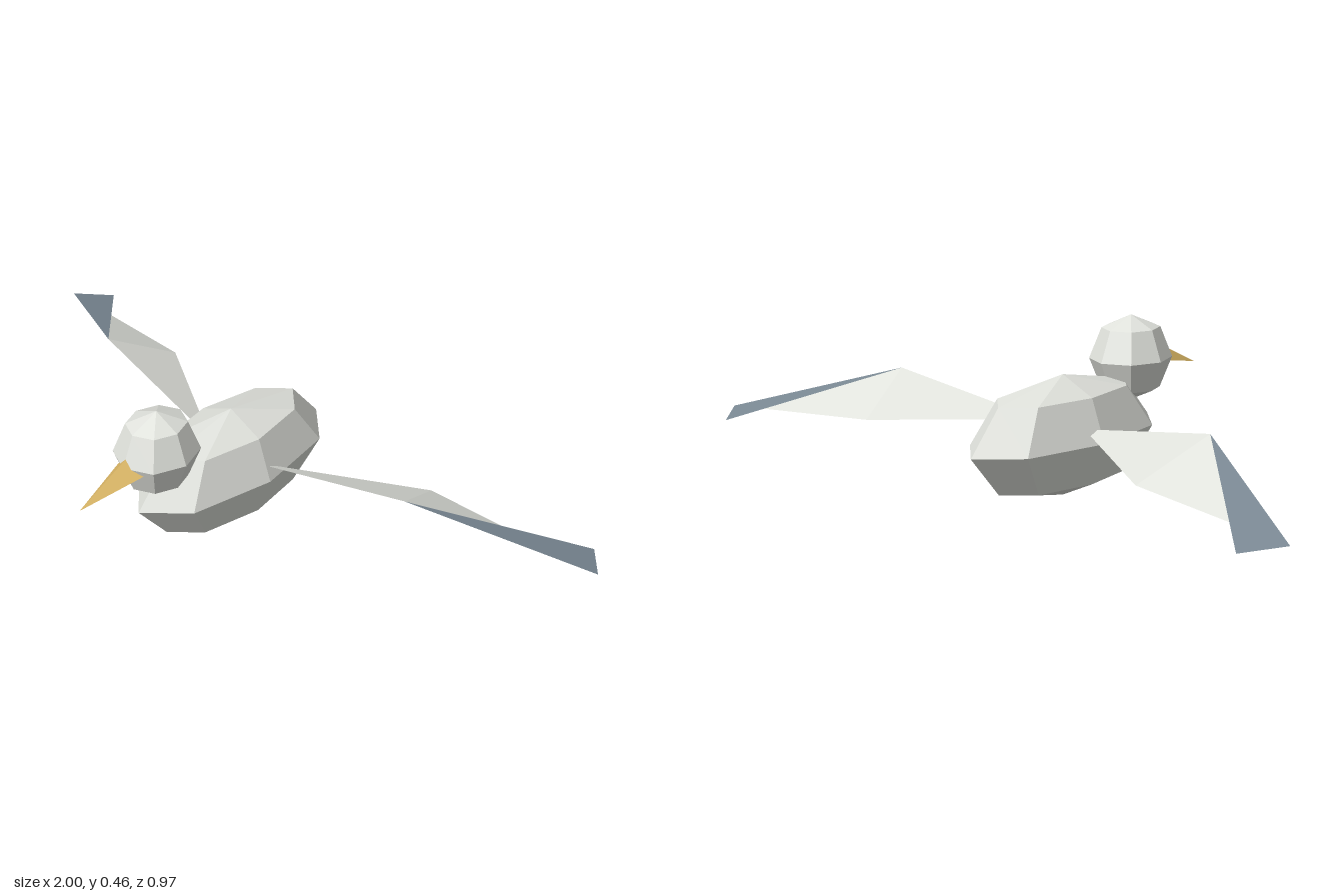
import * as THREE from 'three';

const plumage = new THREE.MeshStandardMaterial({ color: 0xe0e2dc, side: THREE.DoubleSide });
const wingTipGrey = new THREE.MeshStandardMaterial({ color: 0x7a8893, side: THREE.DoubleSide });
const beakYellow = new THREE.MeshStandardMaterial({ color: 0xe0bb68 });
plumage.name = 'plumage';
wingTipGrey.name = 'wingTipGrey';
beakYellow.name = 'beakYellow';

// Coarse faceted ellipsoid
function ellipsoid(name, radii, centre) {
  const geometry = new THREE.SphereGeometry(1, 8, 4).scale(...radii).toNonIndexed();
  geometry.computeVertexNormals();
  const mesh = new THREE.Mesh(geometry, plumage);
  mesh.name = name;
  mesh.position.set(...centre);
  return mesh;
}

// Flat faces from a list of triangles, each given by three corners
function facets(name, triangles, material) {
  const geometry = new THREE.BufferGeometry();
  geometry.setAttribute('position', new THREE.Float32BufferAttribute(triangles.flat(2), 3));
  geometry.computeVertexNormals();
  const mesh = new THREE.Mesh(geometry, material);
  mesh.name = name;
  return mesh;
}

// Thin folded wing; side is +1 for left, -1 for right
function wing(name, side) {
  const at = (x, y, z) => [side * x, y, z];
  const root = at(0.08, 0.197, -0.07);
  const elbow = at(0.56, 0.28, -0.135);
  const rear = at(0.49, 0.176, -0.335);
  const tip = at(1, 0.143, -0.39);
  const rearTip = at(0.92, 0.13, -0.485);
  // Keep the upper side as the front of each face
  const face = (a, b, c) => (side > 0 ? [a, b, c] : [a, c, b]);
  const group = new THREE.Group();
  group.name = name;
  group.add(
    facets('wingFeathers', [face(root, elbow, rear), face(rear, elbow, tip)], plumage),
    facets('wingTip', [face(elbow, tip, rearTip)], wingTipGrey)
  );
  return group;
}

// Three-sided beak pointing forward and down, its base sunk in the head
function beak() {
  const tip = [0, 0.282, 0.483];
  const top = [0, 0.376, 0.29];
  const left = [0.052, 0.325, 0.277];
  const right = [-0.052, 0.325, 0.277];
  return facets('beak', [
    [top, tip, left], [top, right, tip], [tip, right, left], [top, left, right],
  ], beakYellow);
}

export function createModel() {
  const bird = new THREE.Group();
  bird.name = 'bird';
  bird.add(
    ellipsoid('body', [0.15, 0.167, 0.347], [0, 0.168, -0.068]),
    ellipsoid('head', [0.109, 0.12, 0.122], [0, 0.338, 0.208]),
    beak(),
    wing('leftWing', 1),
    wing('rightWing', -1)
  );
  return bird;
}
